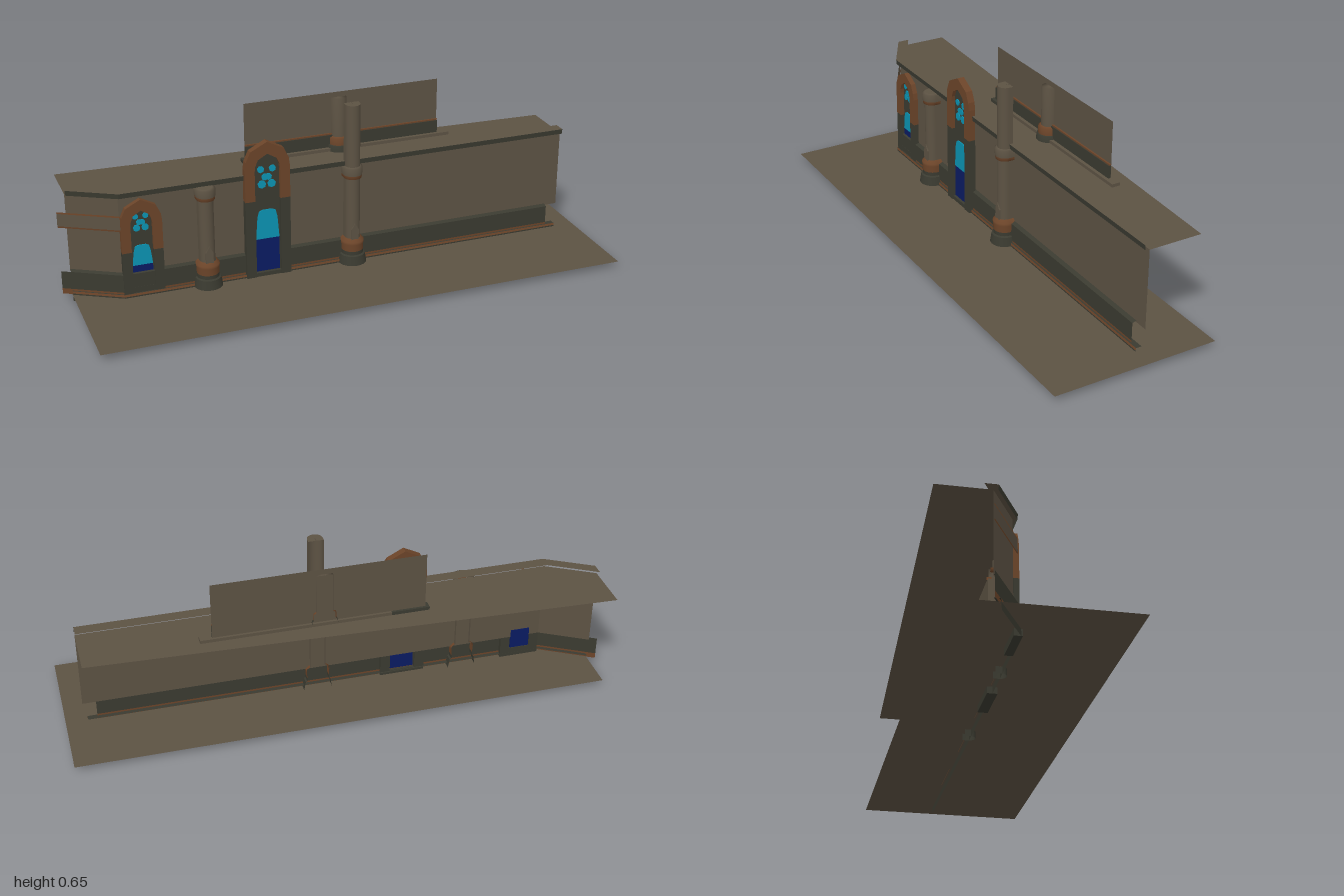
import * as THREE from 'three';

const mat = (name, color) => {
  const m = new THREE.MeshStandardMaterial({ color, side: THREE.DoubleSide });
  m.name = name;
  return m;
};

export function createModel() {
  const group = new THREE.Group();
  const stone = mat('taupeStone', 0x5c5243);
  const dark = mat('darkStone', 0x3a3a30);
  const rust = mat('rustTrim', 0x6b4429);
  const cyan = mat('cyanGlass', 0x0b93b2);
  const blue = mat('deepBlueGlass', 0x0a1b62);

  const add = (name, geo, material, x = 0, y = 0, z = 0, parent = group) => {
    const m = new THREE.Mesh(geo, material);
    m.name = name;
    m.position.set(x, y, z);
    parent.add(m);
  };
  const box = (name, material, x0, x1, y0, y1, z0, z1, parent) =>
    add(name, new THREE.BoxGeometry(x1 - x0, y1 - y0, z1 - z0), material,
      (x0 + x1) / 2, (y0 + y1) / 2, (z0 + z1) / 2, parent);
  const shapeOf = (pts) => new THREE.Shape(pts.map(([x, y]) => new THREE.Vector2(x, y)));

  // The facade runs straight along x and turns back at its left end
  const bendX = -0.8;
  const depth = (x, z) => z - 0.57 * Math.max(0, bendX - x);

  // Ribbon along the facade between two rails, each given as [z, y]
  const ribbon = (name, material, x0, x1, a, b) => {
    const xs = x0 < bendX && x1 > bendX ? [x0, bendX, x1] : [x0, x1];
    const pos = [];
    for (let i = 0; i < xs.length - 1; i++) {
      const p = (x, r) => [x, r[1], depth(x, r[0])];
      const [a0, a1, b0, b1] = [p(xs[i], a), p(xs[i + 1], a), p(xs[i], b), p(xs[i + 1], b)];
      pos.push(...a0, ...a1, ...b0, ...b0, ...a1, ...b1);
    }
    const g = new THREE.BufferGeometry();
    g.setAttribute('position', new THREE.Float32BufferAttribute(pos, 3));
    g.computeVertexNormals();
    add(name, g, material);
  };

  // Floor and roof sheets; the footings reach a little below the floor
  const sheet = (name, y, pts) => {
    const g = new THREE.ShapeGeometry(shapeOf(pts.map(([x, z]) => [x, -z])));
    add(name, g.rotateX(-Math.PI / 2), stone, 0, y, 0);
  };
  sheet('ground', 0.025, [[-0.97, 0.334], [1, 0.334], [1, -0.293], [-0.97, -0.293]]);
  sheet('roof', 0.41, [[-0.968, depth(-0.968, -0.052)], [bendX, -0.052], [0.935, -0.052],
    [0.935, -0.255], [-0.968, -0.335]]);

  // Wall, bottom step, plinth, side band and cornice
  ribbon('wall', stone, -0.968, 0.935, [-0.052, 0.112], [-0.052, 0.41]);
  ribbon('step', dark, -0.968, 0.92, [-0.028, 0], [-0.028, 0.03]);
  ribbon('stepLip', rust, -0.968, 0.92, [-0.028, 0.03], [-0.03, 0.038]);
  ribbon('stepTop', dark, -0.968, 0.92, [-0.03, 0.038], [-0.052, 0.038]);
  ribbon('plinthFoot', rust, -1, 0.885, [-0.036, 0.024], [-0.036, 0.045]);
  ribbon('plinth', dark, -1, 0.885, [-0.036, 0.045], [-0.036, 0.113]);
  ribbon('plinthTop', dark, -0.968, 0.885, [-0.036, 0.113], [-0.052, 0.118]);
  ribbon('sideBand', stone, -1, bendX, [-0.036, 0.291], [-0.036, 0.339]);
  ribbon('sideBandLower', rust, -1, bendX, [-0.037, 0.285], [-0.036, 0.291]);
  ribbon('sideBandUpper', rust, -1, bendX, [-0.036, 0.339], [-0.037, 0.345]);
  ribbon('corniceFace', dark, -0.968, 0.935, [-0.036, 0.412], [-0.034, 0.431]);
  ribbon('corniceTop', stone, -0.968, 0.935, [-0.034, 0.431], [-0.08, 0.431]);

  // Faceted pointed arch outline from one spring point to the other
  const arch = (hw, spring, top) => {
    const half = [[1, 0], [0.95, 0.3], [0.74, 0.68]]
      .map(([u, v]) => [hw * u, spring + (top - spring) * v]);
    return [...half, [0, top], ...half.map(([x, y]) => [-x, y]).reverse()];
  };

  const windows = [
    { name: 'smallWindow', x: -0.725, hw: 0.075, iw: 0.04, spring: 0.31, top: 0.4, inner: 0.358,
      split: 0.2, sill: 0.06, blueTop: 0.142, cyanTop: 0.22, upper: [0.275, 0.342],
      back: -0.0515, front: -0.032, pane: -0.047, blueBack: -0.053 },
    { name: 'tallWindow', x: -0.26, hw: 0.085, iw: 0.048, spring: 0.455, top: 0.556, inner: 0.51,
      split: 0.33, sill: 0.04, blueTop: 0.173, cyanTop: 0.288, upper: [0.373, 0.46],
      back: -0.047, front: -0.02, pane: -0.034, blueBack: -0.038 },
  ];

  // Arched windows
  for (const w of windows) {
    const g = new THREE.Group();
    g.name = w.name;
    g.position.set(w.x, 0, 0);
    group.add(g);
    const inside = arch(w.iw, w.spring - 0.01, w.inner);
    const crown = shapeOf([[w.hw, w.split], ...arch(w.hw, w.spring, w.top), [-w.hw, w.split],
      [-w.iw, w.split], ...[...inside].reverse(), [w.iw, w.split]]);
    const geo = new THREE.ExtrudeGeometry(crown, { depth: w.front - w.back, bevelEnabled: false });
    add('archCrown', geo, rust, 0, 0, w.back, g);
    for (const s of [-1, 1]) {
      const xs = [s * w.iw, s * w.hw].sort((a, b) => a - b);
      box('archLeg', dark, xs[0], xs[1], 0, w.split, w.back, w.front, g);
    }
    box('sill', dark, -w.iw, w.iw, 0, w.sill, w.back, w.front - 0.003, g);
    box('footing', dark, -w.hw, w.hw, 0, 0.024, w.back, w.front + 0.009, g);

    // Dark pane with coloured glass
    const pane = shapeOf([[w.iw, w.sill], ...inside, [-w.iw, w.sill]]);
    add('pane', new THREE.ShapeGeometry(pane), dark, 0, 0, w.pane, g);
    const z0 = w.pane - 0.004, z1 = w.pane + 0.004, e = w.iw * 0.92;
    box('blueGlass', blue, -e, e, w.sill + 0.003, w.blueTop, w.blueBack, z1 - 0.001, g);
    const c0 = w.blueTop, c1 = w.cyanTop, round = 0.03;
    const lower = shapeOf([[-e, c0], [e, c0], [e * 0.85, c1 - round], [e * 0.7, c1 - 0.006],
      [e * 0.4, c1], [-e * 0.4, c1], [-e * 0.7, c1 - 0.006], [-e * 0.85, c1 - round]]);
    add('cyanGlass', new THREE.ExtrudeGeometry(lower, { depth: 0.008, bevelEnabled: false }),
      cyan, 0, 0, z0, g);
    const [u0, u1] = w.upper;
    for (const s of [-1, 1]) {
      for (const [cx, cy, r] of [[0.42, 0.18, 0.36], [0.5, 0.85, 0.3], [0.15, 0.5, 0.3]]) {
        const c = new THREE.CylinderGeometry(r * e, r * e, 0.008, 7).rotateX(Math.PI / 2);
        add('glassFragment', c, cyan, s * cx * e, u0 + cy * (u1 - u0), w.pane, g);
      }
    }
  }

  // Half-round column section whose sides run straight back
  const section = (name, material, pts, parent, back) => {
    const reach = Math.PI / 2 * 14 / 12;
    const g = new THREE.LatheGeometry(pts.map(([r, y]) => new THREE.Vector2(r, y)), 14, -reach, reach * 2);
    const p = g.attributes.position;
    for (let i = 0; i < p.count; i++) {
      if (p.getZ(i) < -1e-4) {
        p.setX(i, Math.sign(p.getX(i)) * Math.hypot(p.getX(i), p.getZ(i)));
        p.setZ(i, -back);
      }
    }
    g.computeVertexNormals();
    add(name, g, material, 0, 0, 0, parent);
  };

  const column = (name, x, top) => {
    const g = new THREE.Group();
    g.name = name;
    g.position.set(x, 0, -0.031);
    group.add(g);
    const part = (label, material, pts, back = 0.034) => section(label, material, pts, g, back);
    part('foot', dark, [[0.022, 0], [0.022, 0.025]], 0.02);
    part('base', dark, [[0.053, 0.025], [0.047, 0.06]]);
    part('baseLedge', dark, [[0.047, 0.06], [0.041, 0.064]]);
    part('baseDrum', dark, [[0.041, 0.064], [0.041, 0.078]]);
    part('baseDrumUpper', rust, [[0.041, 0.078], [0.042, 0.106]]);
    part('baseCollar', rust, [[0.043, 0.106], [0.043, 0.115], [0.03, 0.127]]);
    part('shaft', stone, [[0.028, 0.12], [0.028, 0.37]]);
    part('neckRing', rust, [[0.028, 0.365], [0.034, 0.367], [0.035, 0.38]], 0.039);
    part('capital', stone, [[0.036, 0.38], [0.037, 0.408], [0.028, 0.413]], 0.031);
    if (top > 0.42) part('upperShaft', stone, [[0.028, 0.41], [0.028, top]], 0.017);
    part('cap', stone, [[0.028, top], [0.001, top]], 0.017);
    // Small pointed relief on the shaft
    const relief = shapeOf([[-0.014, 0.12], [0.014, 0.12], [0.014, 0.165], [0, 0.19], [-0.014, 0.165]]);
    add('relief', new THREE.ExtrudeGeometry(relief, { depth: 0.008, bevelEnabled: false }),
      stone, 0, 0, 0.023, g);
  };
  column('shortColumn', -0.49, 0.413);
  column('tallColumn', 0.07, 0.652);

  // Upper wall set back on the roof
  add('upperWall', new THREE.PlaneGeometry(0.768, 0.225), stone, 0.098, 0.5225, -0.21);
  box('upperLedgeDark', dark, -0.3, -0.16, 0.41, 0.422, -0.219, -0.187);
  box('upperLedge', stone, -0.16, 0.525, 0.41, 0.422, -0.219, -0.187);
  box('upperPlinth', dark, -0.286, 0.482, 0.422, 0.47, -0.2095, -0.2);
  box('upperPlinthLip', rust, -0.286, 0.482, 0.47, 0.475, -0.2095, -0.203);

  // Column on the upper wall
  const up = new THREE.Group();
  up.name = 'upperColumn';
  up.position.set(0.083, 0, -0.21);
  group.add(up);
  section('upperBase', dark, [[0.048, 0.41], [0.045, 0.432], [0.04, 0.434]], up, 0.01);
  section('upperCollar', rust, [[0.04, 0.434], [0.04, 0.46], [0.03, 0.465]], up, 0.009);
  section('upperColumnShaft', stone, [[0.03, 0.46], [0.03, 0.615], [0.001, 0.615]], up, 0.008);

  return group;
}
